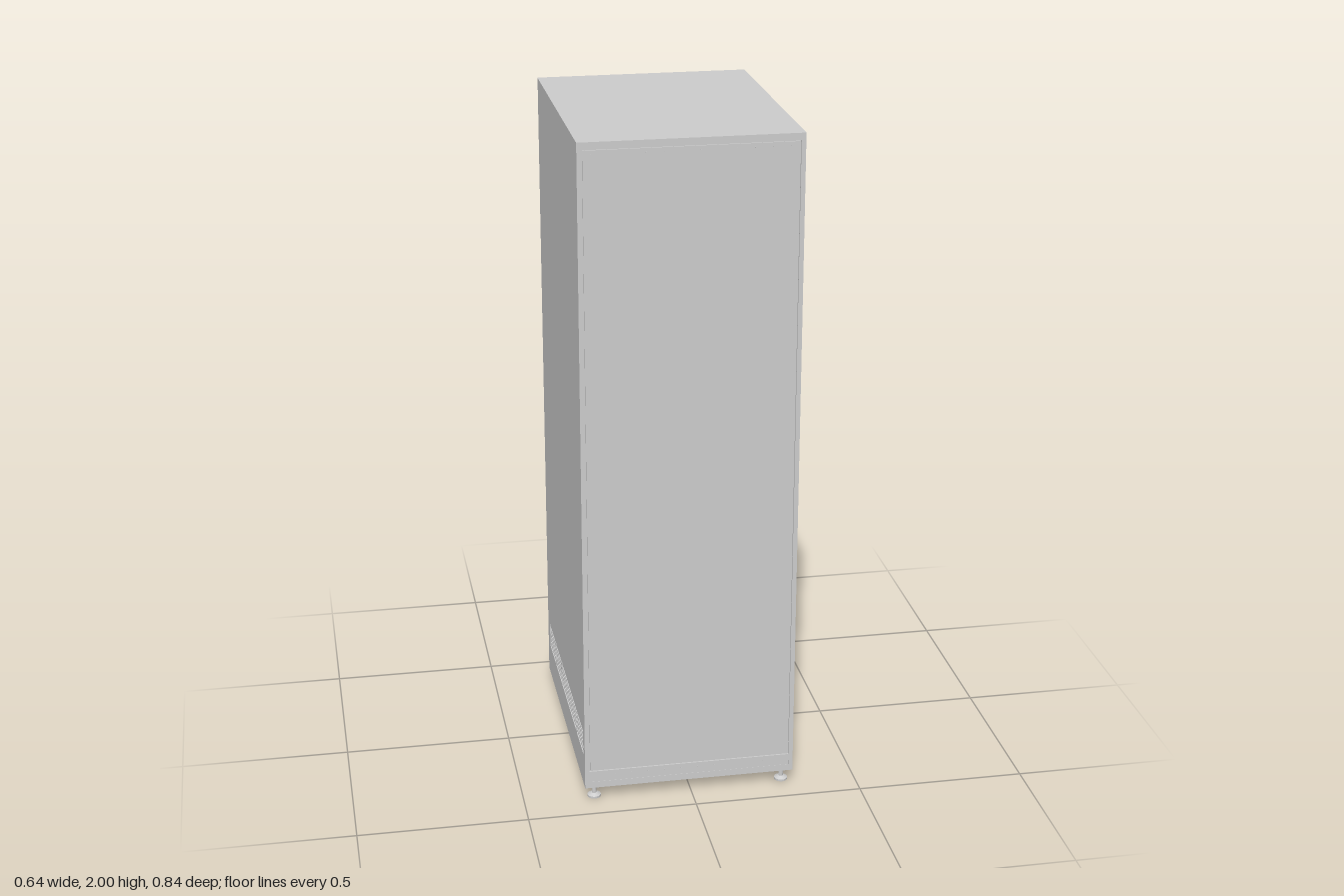
import * as THREE from 'three';

const grey = new THREE.MeshStandardMaterial({ color: 0xcccccc });

// Cabinet limits; doors sit behind z = BACK
const LEFT = 0.31, RIGHT = -0.32, FRONT = 0.42, BACK = -0.38;
const MID_X = (LEFT + RIGHT) / 2;

function add(parent, name, geometry) {
  const mesh = new THREE.Mesh(geometry, grey);
  mesh.name = name;
  parent.add(mesh);
  return mesh;
}

// Box given by its limits
function box(parent, name, x0, x1, y0, y1, z0, z1) {
  const g = new THREE.BoxGeometry(x1 - x0, y1 - y0, z1 - z0);
  g.translate((x0 + x1) / 2, (y0 + y1) / 2, (z0 + z1) / 2);
  return add(parent, name, g);
}

function rect(Type, x0, x1, y0, y1) {
  return new Type([[x0, y0], [x1, y0], [x1, y1], [x0, y1]].map(p => new THREE.Vector2(...p)));
}

// Side wall with four vent openings and louvres
const VENTS = [[-0.39, -0.255], [-0.25, 0.065], [0.07, 0.2], [0.205, 0.34]];
function sideWall(x0, name) {
  const wall = new THREE.Group();
  wall.name = name;
  const shape = rect(THREE.Shape, -FRONT, -BACK, 0.06, 1.98);
  VENTS.forEach(([a, b]) => shape.holes.push(rect(THREE.Path, a, b, 0.14, 0.22)));
  const t = 0.013;
  const g = new THREE.ExtrudeGeometry(shape, { depth: t, bevelEnabled: false });
  g.rotateY(Math.PI / 2).translate(x0, 0, 0);
  add(wall, 'sidePanel', g);
  for (const [a, b] of VENTS) {
    for (let i = 0; i < 5; i++) {
      const y = 0.148 + i * 0.016;
      box(wall, 'louvre', x0 + 0.002, x0 + t - 0.002, y - 0.0035, y + 0.0035, -b, -a);
    }
  }
  return wall;
}

// Door hinge: leaf with a knuckle barrel
function hinge(y) {
  const h = new THREE.Group();
  h.name = 'hinge';
  box(h, 'hingeLeaf', 0.298, 0.313, y - 0.033, y + 0.033, -0.401, -0.385);
  const pin = add(h, 'hingeBarrel', new THREE.CylinderGeometry(0.005, 0.005, 0.066, 16));
  pin.position.set(0.312, y, -0.4);
  return h;
}

// Swing handle: mounting plate, raised base and lever
function handle(y) {
  const h = new THREE.Group();
  h.name = 'handle';
  box(h, 'handlePlate', -0.303, -0.277, y - 0.065, y + 0.065, -0.405, -0.396);
  box(h, 'handleBase', -0.299, -0.281, y - 0.06, y + 0.06, -0.409, -0.404);
  const s = new THREE.Shape([[0.404, -0.055], [0.418, -0.055], [0.423, -0.05], [0.423, 0.05],
    [0.418, 0.055], [0.404, 0.055]].map(p => new THREE.Vector2(...p)));
  const g = new THREE.ExtrudeGeometry(s, { depth: 0.017, bevelEnabled: false });
  g.rotateY(Math.PI / 2).translate(-0.2985, y, 0);
  add(h, 'handleLever', g);
  return h;
}

// Levelling foot
function foot(x, z) {
  const pts = [[0, 0], [0.02, 0], [0.02, 0.006], [0.009, 0.012], [0.007, 0.012], [0.007, 0.045]];
  const f = add(new THREE.Group(), 'foot',
    new THREE.LatheGeometry(pts.map(p => new THREE.Vector2(...p)), 20).toNonIndexed());
  f.geometry.computeVertexNormals();
  f.position.set(x, 0, z);
  return f;
}

export function createModel() {
  const model = new THREE.Group();
  model.name = 'cabinet';

  // Carcass: base tray, lid, core and side walls
  box(model, 'baseTray', RIGHT, LEFT, 0.04, 0.06, BACK, FRONT);
  box(model, 'lid', RIGHT, LEFT, 1.98, 2, BACK - 0.003, FRONT);
  box(model, 'core', RIGHT + 0.013, LEFT - 0.013, 0.06, 1.98, BACK + 0.002, FRONT - 0.006);
  model.add(sideWall(RIGHT, 'rightSide'), sideWall(LEFT - 0.013, 'leftSide'));

  // Front panel with a shadow gap all round, above a plinth
  box(model, 'frontPlinth', RIGHT + 0.013, LEFT - 0.013, 0.06, 0.094, FRONT - 0.01, FRONT - 0.001);
  box(model, 'frontPanel', RIGHT + 0.016, LEFT - 0.016, 0.099, 1.977, FRONT - 0.01, FRONT - 0.001);

  // Row of small fixings at the top and bottom of the front
  for (const y of [0.08, 1.965]) {
    for (let i = 0; i < 12; i++) {
      const g = new THREE.CylinderGeometry(0.002, 0.002, 0.002, 8).rotateX(Math.PI / 2);
      add(model, 'fixing', g).position.set(MID_X - 0.275 + i * 0.05, y, FRONT - 0.001);
    }
  }

  // Upper door: frame around a recessed pane
  const upper = new THREE.Group();
  upper.name = 'upperDoor';
  const frame = rect(THREE.Shape, -0.31, 0.308, 1.13, 1.985);
  frame.holes.push(rect(THREE.Path, -0.268, 0.266, 1.175, 1.945));
  const fg = new THREE.ExtrudeGeometry(frame, { depth: 0.014, bevelEnabled: false });
  add(upper, 'doorFrame', fg.translate(0, 0, -0.397));
  box(upper, 'doorPane', -0.27, 0.268, 1.173, 1.947, -0.39, -0.385);
  upper.add(handle(1.235), hinge(1.94), hinge(1.173));

  // Lower door: plain sheet
  const lower = new THREE.Group();
  lower.name = 'lowerDoor';
  box(lower, 'doorSheet', -0.31, 0.308, 0.065, 1.105, -0.397, -0.383);
  lower.add(handle(1.005), hinge(1.067), hinge(0.152));

  // Rail between the doors
  box(model, 'middleRail', -0.305, 0.3, 1.112, 1.123, -0.39, -0.376);
  model.add(upper, lower);

  for (const x of [-0.29, 0.28]) for (const z of [0.395, -0.355]) model.add(foot(x, z));
  return model;
}
